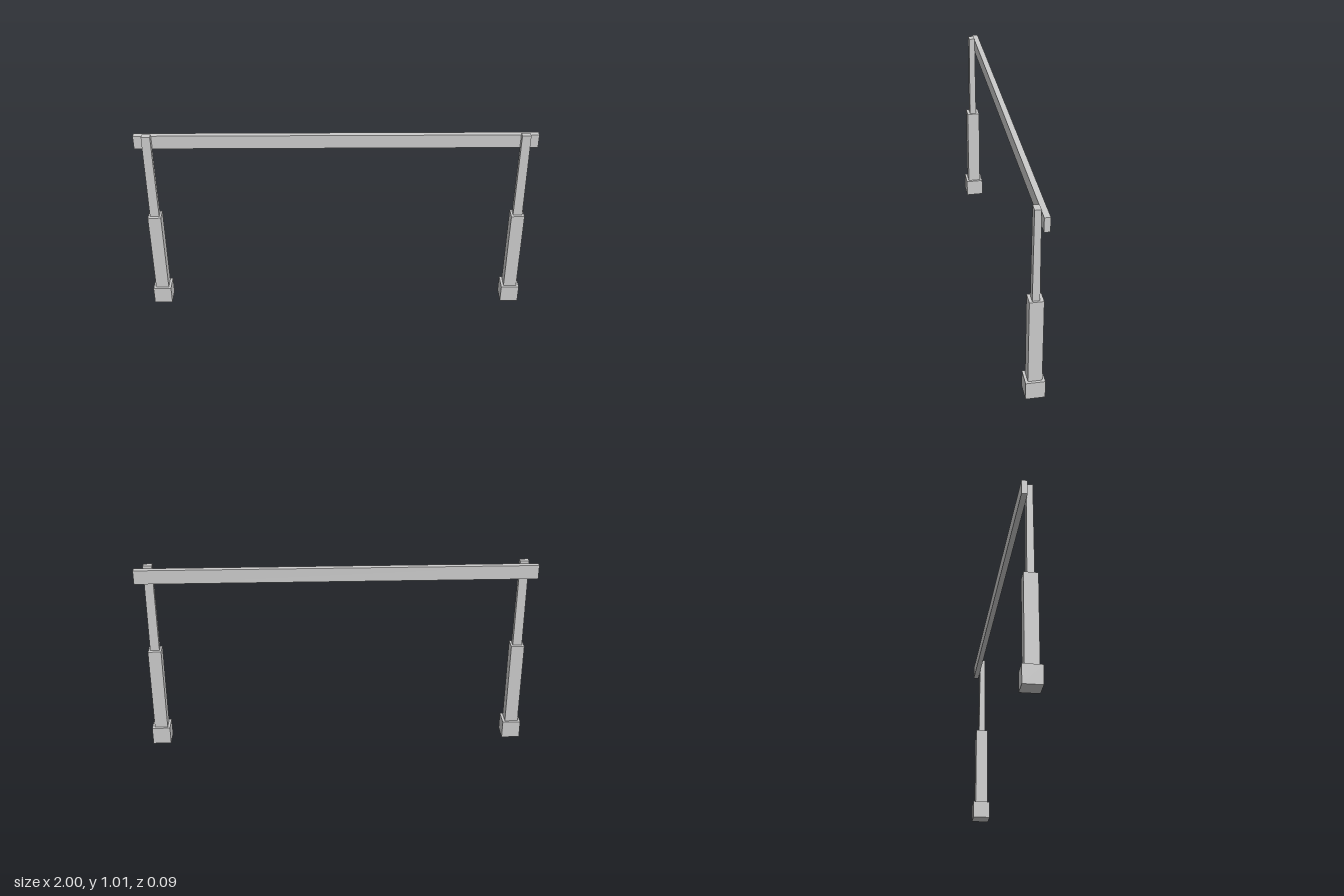
import * as THREE from 'three';

const material = new THREE.MeshStandardMaterial({ color: 0xcccccc, flatShading: true });

// Box standing on y0, reaching y1, with an optional taper in width and depth
function block(name, w, d, y0, y1, topW = w, topD = d) {
  const geometry = new THREE.BoxGeometry(w, y1 - y0, d);
  const p = geometry.attributes.position;
  for (let i = 0; i < p.count; i++) {
    if (p.getY(i) > 0) {
      p.setX(i, p.getX(i) * topW / w);
      p.setZ(i, p.getZ(i) * topD / d);
    }
  }
  geometry.computeVertexNormals();
  const mesh = new THREE.Mesh(geometry, material);
  mesh.name = name;
  mesh.position.y = (y0 + y1) / 2;
  return mesh;
}

export function createModel() {
  const model = new THREE.Group();
  model.name = 'barrier';

  // Two stepped supports: foot, thick sleeve, slightly tapered post
  for (const [side, x] of [['left', 0.932], ['right', -0.932]]) {
    const support = new THREE.Group();
    support.name = side + 'Support';
    support.position.x = x;
    const post = block('post', 0.047, 0.035, 0.541, 1.008, 0.044, 0.03);
    post.position.z = 0.001;
    support.add(
      block('foot', 0.093, 0.093, 0, 0.093),
      block('sleeve', 0.067, 0.067, 0.093, 0.541),
      post
    );
    model.add(support);
  }

  // Long board fixed to the back of the posts
  const rail = block('rail', 2, 0.028, 0.924, 0.996);
  rail.position.z = -0.0295;
  model.add(rail);

  return model;
}
